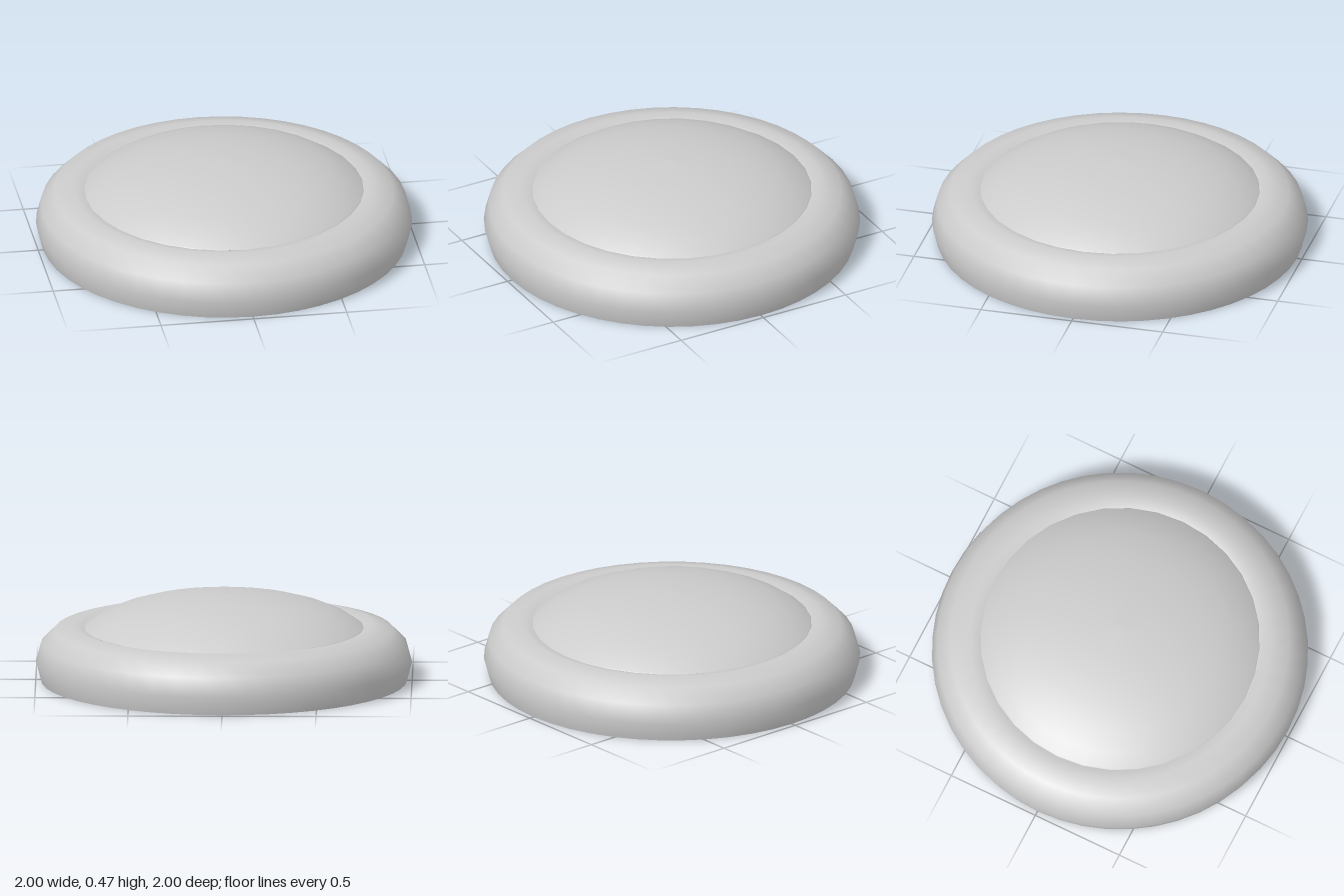
import * as THREE from 'three';

const material = new THREE.MeshStandardMaterial({ color: 0xcccccc, side: THREE.DoubleSide });

// Smooth open shell turned around the y axis, profile given from bottom to top
function turnedShell(name, profile, segments) {
  const mesh = new THREE.Mesh(new THREE.LatheGeometry(profile, segments), material);
  mesh.name = name;
  return mesh;
}

export function createModel() {
  const group = new THREE.Group();
  group.name = 'domedCap';

  // Rounded rim: a 12-sided tube section, cut off at the ground and under the dome
  const rim = [];
  for (let deg = -30; deg <= 90; deg += 30) {
    const a = THREE.MathUtils.degToRad(deg);
    rim.push(new THREE.Vector2(0.8 + 0.2 * Math.cos(a), 0.1 + 0.2 * Math.sin(a)));
  }
  rim[0].y = 0;
  rim.push(new THREE.Vector2(0.738, 0.283));
  group.add(turnedShell('rim', rim, 48));

  // Shallow dome: the top of a flattened sphere, ending where it meets the rim
  const dome = [new THREE.Vector2(0.743, 0.2845)];
  for (let i = 6; i >= 0; i--) {
    const a = (i * Math.PI) / 16;
    dome.push(new THREE.Vector2(0.8 * Math.sin(a), 0.18 + 0.285 * Math.cos(a)));
  }
  group.add(turnedShell('dome', dome, 32));

  return group;
}
